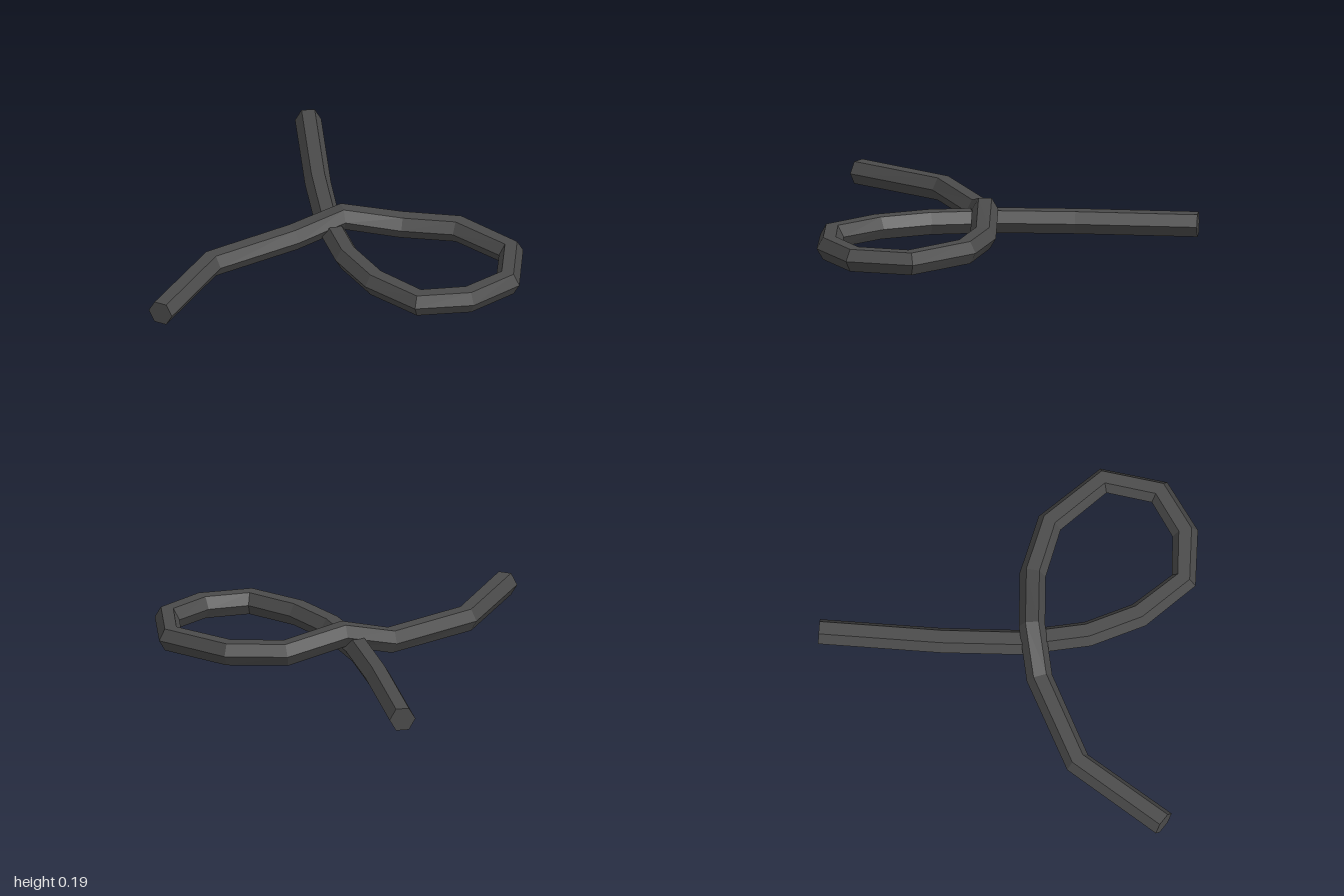
import * as THREE from 'three';

const RADIUS = 0.066;
const SIDES = 6;
const REST = RADIUS * Math.sin(Math.PI / 3); // centre height when lying on a flat side

// Centre line of the rope: x, z and lift above the ground
const PATH = [
  [-0.926, 0.246], [-0.462, -0.032], [0.026, -0.04], [0.275, 0.02, 0.073],
  [0.549, 0.135], [0.773, 0.317], [0.881, 0.651], [0.718, 0.889],
  [0.467, 0.926], [0.237, 0.825], [0.15, 0.548], [0.153, 0.272],
  [0.235, -0.05], [0.396, -0.42], [0.67, -0.971],
];

// Hexagonal tube with flat top and bottom, one ring per path point
function ropeGeometry(points) {
  const worldUp = new THREE.Vector3(0, 1, 0);
  const last = points.length - 1;
  const rings = points.map((p, i) => {
    // Each ring faces the average of its two neighbouring directions
    const tangent = new THREE.Vector3();
    if (i > 0) tangent.add(p.clone().sub(points[i - 1]).normalize());
    if (i < last) tangent.add(points[i + 1].clone().sub(p).normalize());
    tangent.normalize();
    const side = tangent.clone().cross(worldUp).normalize();
    const up = side.clone().cross(tangent);
    return Array.from({ length: SIDES }, (_, j) => {
      const a = (j / SIDES) * Math.PI * 2;
      return p.clone()
        .addScaledVector(side, Math.cos(a) * RADIUS)
        .addScaledVector(up, Math.sin(a) * RADIUS);
    });
  });

  const corners = [];
  for (let i = 0; i < last; i++) {
    for (let j = 0; j < SIDES; j++) {
      const k = (j + 1) % SIDES;
      const a = rings[i][j], b = rings[i][k];
      const c = rings[i + 1][k], d = rings[i + 1][j];
      corners.push(a, d, c, a, c, b);
    }
  }
  // Flat cut ends
  for (let j = 1; j < SIDES - 1; j++) {
    corners.push(rings[0][0], rings[0][j], rings[0][j + 1]);
    corners.push(rings[last][0], rings[last][j + 1], rings[last][j]);
  }
  const geometry = new THREE.BufferGeometry().setFromPoints(corners);
  geometry.computeVertexNormals(); // unshared corners give flat facets
  return geometry;
}

export function createModel() {
  const group = new THREE.Group();
  group.name = 'loopedRope';

  const material = new THREE.MeshStandardMaterial({ color: 0x4a4a4a });
  material.name = 'dark grey';

  const points = PATH.map(([x, z, lift = 0]) => new THREE.Vector3(x, REST + lift, z));
  const rope = new THREE.Mesh(ropeGeometry(points), material);
  rope.name = 'rope';
  group.add(rope);
  return group;
}
